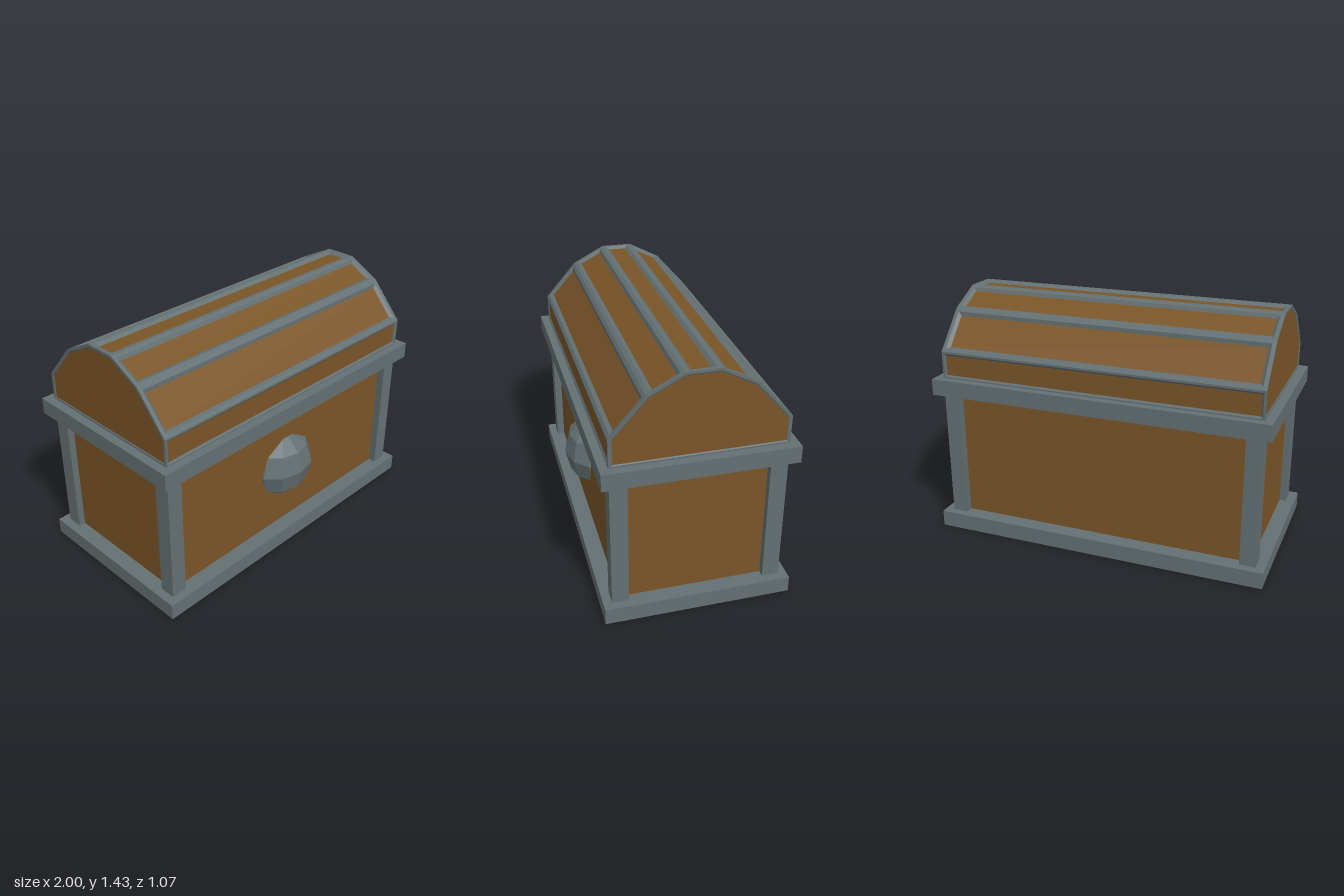
import * as THREE from 'three';

const metal = new THREE.MeshStandardMaterial({ color: 0x647073, flatShading: true });
const wood = new THREE.MeshStandardMaterial({ color: 0x7a5528, flatShading: true });
const ZC = -0.0125; // middle of the chest in depth

function box(parent, name, material, size, position) {
  const mesh = new THREE.Mesh(new THREE.BoxGeometry(...size), material);
  mesh.position.set(...position);
  mesh.name = name;
  parent.add(mesh);
}

function facesMesh(parent, name, material, triangles) {
  const geometry = new THREE.BufferGeometry().setFromPoints(triangles);
  geometry.computeVertexNormals();
  const mesh = new THREE.Mesh(geometry, material);
  mesh.name = name;
  parent.add(mesh);
}

// Convex loop moved inwards by a border width and sunk along its normal
function insetLoop(loop, border, depth) {
  const n = loop.length;
  return loop.map((p, i) => {
    const next = loop[(i + 1) % n].clone().sub(p).normalize();
    const prev = loop[(i + n - 1) % n].clone().sub(p).normalize();
    const normal = next.clone().cross(prev);
    const sine = normal.length();
    return p.clone()
      .addScaledVector(next.add(prev), border / sine)
      .addScaledVector(normal, -depth / sine);
  });
}

// Flat metal border, bevel and sunken wooden panel filling one face of the lid
function framedFace(parent, name, loop, border, inner, depth) {
  const rings = [loop, insetLoop(loop, border, 0), insetLoop(loop, inner, depth)];
  const frame = [], panel = [];
  const n = loop.length;
  for (let r = 0; r < 2; r++) {
    for (let i = 0; i < n; i++) {
      const j = (i + 1) % n;
      const a = rings[r], b = rings[r + 1];
      frame.push(a[i], a[j], b[j], a[i], b[j], b[i]);
    }
  }
  for (let i = 1; i < n - 1; i++) panel.push(rings[2][0], rings[2][i], rings[2][i + 1]);
  facesMesh(parent, name + 'Frame', metal, frame);
  facesMesh(parent, name + 'Panel', wood, panel);
}

function createBody() {
  const body = new THREE.Group();
  body.name = 'body';
  box(body, 'baseSlab', metal, [2, 0.096, 1.045], [0, 0.048, ZC]);
  box(body, 'rim', metal, [2, 0.096, 1.045], [0, 0.907, ZC]);
  box(body, 'woodenBox', wood, [1.82, 0.78, 0.86], [0, 0.477, ZC]);
  for (const sx of [-1, 1]) {
    for (const sz of [-1, 1]) {
      box(body, 'cornerPost', metal, [0.093, 0.78, 0.095],
        [sx * 0.9035, 0.477, ZC + sz * 0.4275]);
    }
  }
  return body;
}

function createLid() {
  const lid = new THREE.Group();
  lid.name = 'lid';
  const half = [[0.475, 0.95], [0.475, 1.115], [0.285, 1.33], [0.092, 1.43]];
  const profile = [...half, ...half.map(([z, y]) => [-z, y]).reverse()];
  const at = (x, [z, y]) => new THREE.Vector3(x, y, z + ZC);
  const X = 0.95;

  // Bands from the front wall over the arch to the back wall
  for (let i = 0; i < profile.length - 1; i++) {
    const a = profile[i], b = profile[i + 1];
    const wall = i === 0 || i === profile.length - 2;
    const loop = [at(-X, a), at(X, a), at(X, b), at(-X, b)];
    if (wall) framedFace(lid, 'lidWall', loop, 0.012, 0.023, 0.008);
    else framedFace(lid, 'lidBand', loop, 0.022, 0.04, 0.015);
  }

  // Ends
  framedFace(lid, 'leftEnd', profile.map(p => at(X, p)).reverse(), 0.014, 0.021, 0.004);
  framedFace(lid, 'rightEnd', profile.map(p => at(-X, p)), 0.014, 0.021, 0.004);
  return lid;
}

// Faceted, flattened boss in the middle of the front
function createLock() {
  const points = [-90, -72, -36, 0, 36, 72, 90].map(degrees => {
    const t = THREE.MathUtils.degToRad(degrees);
    return new THREE.Vector2(Math.max(0, Math.cos(t)), Math.sin(t));
  });
  const lock = new THREE.Mesh(new THREE.LatheGeometry(points, 10), metal);
  lock.scale.set(0.216, 0.205, 0.158);
  lock.position.set(0, 0.48, 0.377);
  lock.name = 'lock';
  return lock;
}

export function createModel() {
  const chest = new THREE.Group();
  chest.name = 'chest';
  chest.add(createBody(), createLid(), createLock());
  return chest;
}
